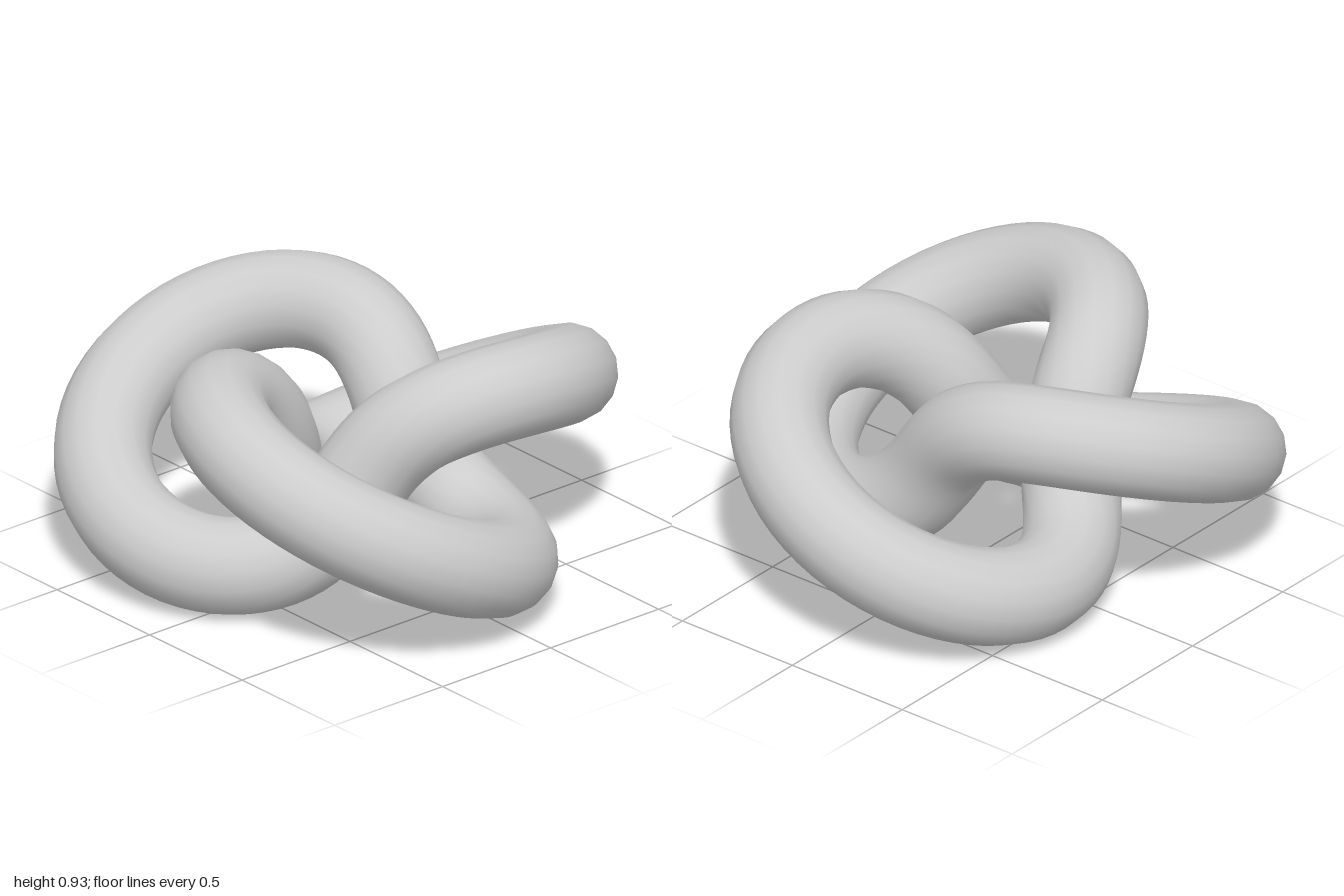
import * as THREE from 'three';

export function createModel() {
  const group = new THREE.Group();
  group.name = 'trefoilKnot';

  const grey = new THREE.MeshStandardMaterial({ color: 0xcccccc });
  grey.name = 'light grey';

  // One closed tube wound as a trefoil; the negative winding sets its handedness
  const radius = 0.5834;
  const geometry = new THREE.TorusKnotGeometry(radius, radius * 0.3, 200, 16, 2, -3);
  geometry.rotateX(Math.PI / 2);

  // Lay it flat, centred, resting on the ground
  geometry.computeBoundingBox();
  const { min, max } = geometry.boundingBox;
  geometry.translate(-(min.x + max.x) / 2, -min.y, -(min.z + max.z) / 2);

  const knot = new THREE.Mesh(geometry, grey);
  knot.name = 'knotTube';
  group.add(knot);
  return group;
}
